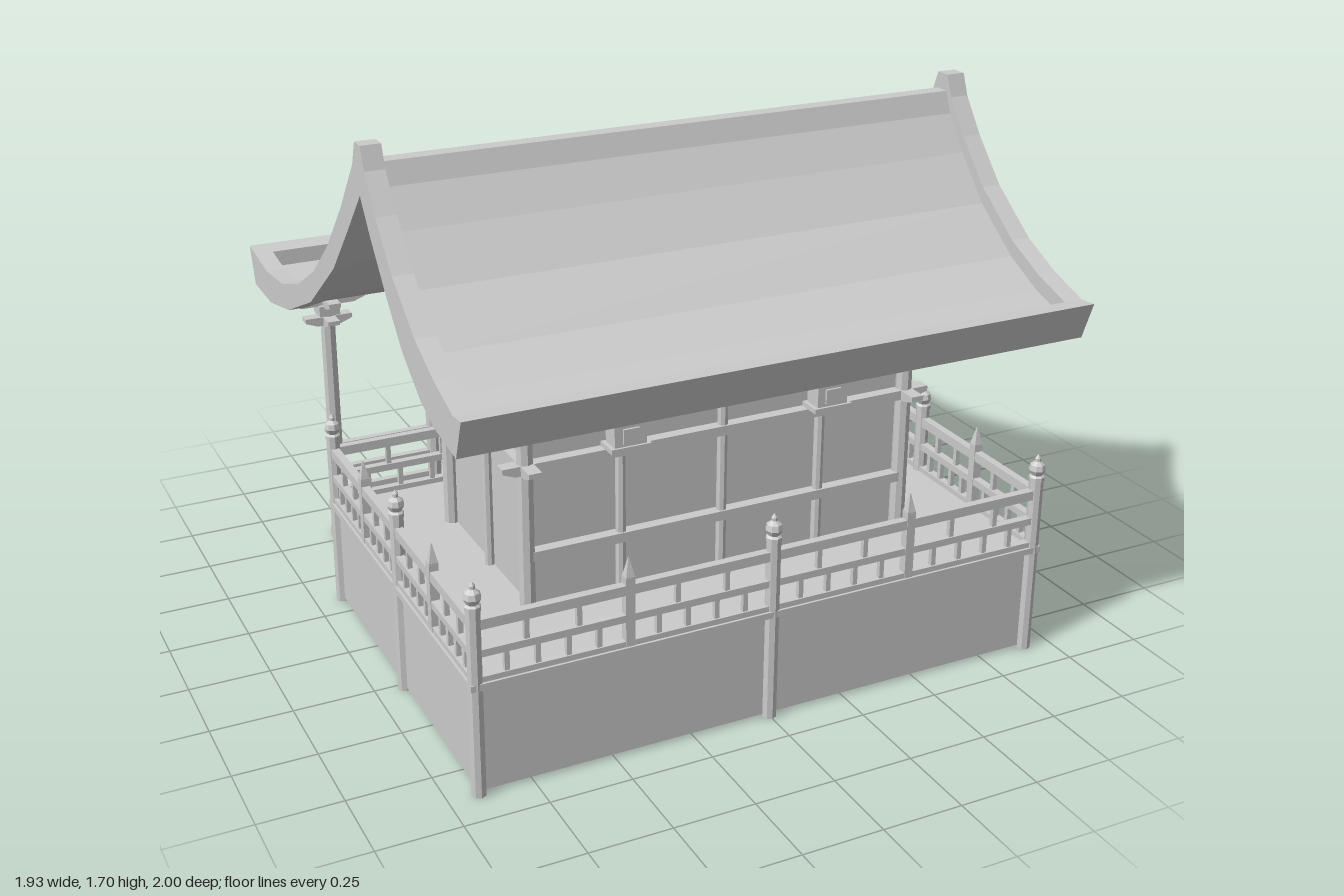
import * as THREE from 'three';

const mat = new THREE.MeshStandardMaterial({ color: 0xcccccc, flatShading: true, side: THREE.DoubleSide });

export function createModel() {
  const root = new THREE.Group();

  const add = (name, geo, x = 0, y = 0, z = 0) => {
    const m = new THREE.Mesh(geo, mat);
    m.name = name;
    m.position.set(x, y, z);
    root.add(m);
    return m;
  };
  // Box by size and centre
  const box = (name, w, h, d, x, y, z) => add(name, new THREE.BoxGeometry(w, h, d), x, y, z);
  // Upright round post between two heights
  const post = (name, r, y0, y1, x, z, r2 = r, sides = 8) =>
    add(name, new THREE.CylinderGeometry(r2, r, y1 - y0, sides), x, (y0 + y1) / 2, z);
  // Straight bar between two points
  const bar = (name, a, b, w, h) => {
    const p = new THREE.Vector3(...a), q = new THREE.Vector3(...b);
    const m = add(name, new THREE.BoxGeometry(w, h, p.distanceTo(q)));
    m.position.copy(p).add(q).multiplyScalar(0.5);
    m.lookAt(q);
    return m;
  };
  // [z, y] outline extruded along x, centred on x
  const profile = (name, pts, width, x = 0) => {
    const shape = new THREE.Shape(pts.map(p => new THREE.Vector2(p[0], p[1])));
    const geo = new THREE.ExtrudeGeometry(shape, { depth: width, bevelEnabled: false });
    geo.translate(0, 0, -width / 2).rotateY(-Math.PI / 2);
    return add(name, geo, x);
  };
  // Bracket arm whose underside tapers at both ends
  const arm = (name, len, h, d, x, y, z, alongZ) => {
    const l = len / 2, t = Math.min(0.04, len / 4);
    const m = profile(name, [[-l + t, -h / 2], [l - t, -h / 2], [l, 0], [l, h / 2], [-l, h / 2], [-l, 0]], d);
    m.position.set(x, y, z);
    if (!alongZ) m.rotation.y = Math.PI / 2;
    return m;
  };

  // Sweeping roof: top and underside curves as [z, y], front to back
  const top = [[1, 1.17], [0.946, 1.165], [0.812, 1.21], [0.678, 1.275], [0.517, 1.396], [0.4, 1.525], [0.324, 1.63],
    [0.298, 1.695], [0.249, 1.695], [0.222, 1.626], [0.088, 1.465], [-0.07, 1.305], [-0.23, 1.178], [-0.42, 1.075],
    [-0.61, 1.016], [-0.8, 1.0], [-1, 1.027]];
  const under = [[-0.957, 0.905], [-0.77, 0.9], [-0.555, 0.945], [-0.287, 1.06], [-0.02, 1.25], [0.15, 1.42],
    [0.275, 1.55], [0.35, 1.45], [0.465, 1.315], [0.57, 1.205], [0.7, 1.115], [0.8, 1.075], [0.957, 1.053]];
  const panelTop = [[0.94, 1.12], ...top.slice(2, -1).map(([z, y]) => [z, y - 0.05]), [-0.94, 0.965]];
  const panelUnder = under.map(([z, y]) => [Math.max(-0.94, Math.min(0.94, z)), y + 0.012]);
  profile('roofPanel', [...panelTop, ...panelUnder], 1.84);
  for (const s of [-1, 1]) profile('roofGableRim', [...top, ...under], 0.06, s * 0.937);
  profile('frontEave', [[1, 1.17], [0.94, 1.165], [0.93, 1.055], [0.957, 1.053]], 1.84);
  profile('backEave', [[-1, 1.027], [-0.957, 0.905], [-0.93, 0.905], [-0.94, 1.015]], 1.84);

  // Stepped layers below the roof
  profile('upperEaveLayer', [[0.275, 1.54], [0.465, 1.3], [0.6, 1.175], [0.78, 1.08], [0.75, 1.035], [0.55, 1.14],
    [0.4, 1.31], [0.275, 1.485], [0.12, 1.31], [-0.04, 1.14], [-0.2, 1.03], [-0.225, 1.055], [-0.02, 1.24]], 1.4);
  profile('lowerEaveLayer', [[0.275, 1.48], [0.4, 1.3], [0.55, 1.135], [0.69, 1.06], [0.66, 1.02], [0.52, 1.09],
    [0.38, 1.25], [0.275, 1.395], [0.16, 1.25], [0.03, 1.09], [-0.11, 1.02], [-0.14, 1.05], [-0.04, 1.13], [0.12, 1.3]], 1.34);

  // Hall walls with gables
  profile('hallWalls', [[0.55, 0.35], [0.55, 1.06], [0.275, 1.42], [-0.04, 1.06], [-0.04, 0.35]], 1.23);
  for (const [z, dir] of [[0.565, 1], [-0.05, -1]]) {
    for (const x of [-0.625, -0.33, 0, 0.33, 0.625]) {
      if (x === 0 && dir < 0) continue;
      post('wallPost', Math.abs(x) > 0.5 ? 0.025 : 0.016, 0.35, 1.03, x, z);
    }
    arm('wallBeam', 1.4, 0.03, 0.04, 0, 0.795, z);
    arm('wallTopBeam', 1.4, 0.035, 0.05, 0, 1.015, z);
    box('wallSill', 1.25, 0.03, 0.04, 0, 0.52, z);
    for (const x of [-0.625, 0.625]) {
      box('cornerCapital', 0.075, 0.035, 0.075, x, 0.975, z);
      arm('cornerBracket', 0.17, 0.03, 0.05, x, 1.01, z, true);
    }
  }
  for (const s of [-1, 1]) {
    arm('sideBeam', 0.77, 0.03, 0.04, s * 0.625, 0.795, 0.26, true);
    arm('sideTopBeam', 0.77, 0.035, 0.05, s * 0.625, 1.015, 0.26, true);
    post('sidePost', 0.016, 0.35, 1.0, s * 0.625, 0.27);
    post('gableStrut', 0.014, 1.0, 1.4, s * 0.625, 0.27);
    // Tall lantern on the side wall
    profile('sideLantern', [[0.27, 1.21], [0.285, 1.15], [0.295, 1.09], [0.33, 1.01], [0.325, 0.83], [0.285, 0.81],
      [0.295, 0.77], [0.27, 0.73], [0.245, 0.77], [0.255, 0.81], [0.215, 0.83], [0.21, 1.01], [0.245, 1.09], [0.255, 1.15]], 0.05, s * 0.65);
    box('sideLanternFrame', 0.02, 0.17, 0.075, s * 0.675, 0.92, 0.27);
    box('sideLanternWindow', 0.02, 0.11, 0.03, s * 0.682, 0.92, 0.27);
    // Hanging lantern on the front wall
    const x = s * 0.33, z = 0.605;
    box('lanternBody', 0.1, 0.075, 0.06, x, 0.865, z);
    box('lanternWindow', 0.05, 0.045, 0.075, x, 0.865, z);
    box('lanternBase', 0.125, 0.015, 0.075, x, 0.825, z);
    const cap = add('lanternRoof', new THREE.CylinderGeometry(0.03, 0.095, 0.045, 4, 1, false, Math.PI / 4), x, 0.925, z);
    cap.scale.z = 0.6;
    post('lanternHanger', 0.008, 0.94, 1.0, x, z);
  }

  // Doorway facing the stairs
  for (const s of [-1, 1]) box('doorLeaf', 0.28, 0.42, 0.02, s * 0.145, 0.57, -0.05);
  profile('doorCrest', [[-0.14, 0], [-0.05, 0.1], [0, 0.13], [0.05, 0.1], [0.14, 0]], 0.03).rotation.y = Math.PI / 2;
  root.children.at(-1).position.set(0, 0.83, -0.06);

  // Raised base and veranda floor
  box('base', 1.82, 0.34, 1.22, 0, 0.18, 0.27);
  box('verandaFloor', 1.86, 0.02, 1.26, 0, 0.345, 0.27);

  // Railing posts with bud finials
  const bud = new THREE.LatheGeometry([[0, 0], [0.024, 0], [0.024, 0.012], [0.017, 0.018], [0.026, 0.035], [0.022, 0.052],
    [0.009, 0.062], [0.009, 0.072], [0, 0.085]].map(p => new THREE.Vector2(...p)), 8);
  const finialPost = (x, z, h) => {
    post('railingPost', 0.022, 0, h, x, z);
    add('postFinial', bud, x, h - 0.005, z);
  };
  const slimPost = (x, z) => {
    box('slimPost', 0.028, 0.22, 0.028, x, 0.46, z);
    add('slimPostTip', new THREE.CylinderGeometry(0.002, 0.02, 0.06, 4, 1, false, Math.PI / 4), x, 0.595, z);
  };
  for (const x of [-0.91, 0, 0.91]) finialPost(x, 0.88, 0.58);
  for (const x of [-0.91, 0.91]) {
    finialPost(x, 0.27, 0.58);
    finialPost(x, -0.34, 0.58);
    slimPost(x, 0.57);
    slimPost(x, -0.03);
  }
  for (const x of [-0.455, 0.455]) slimPost(x, 0.88);
  for (const x of [-0.37, 0.37]) finialPost(x, -0.34, 0.58);

  // One bay of railing between [x, z] points
  const railing = (a, b) => {
    const at = (t, y) => [a[0] + (b[0] - a[0]) * t, y, a[1] + (b[1] - a[1]) * t];
    for (const [y, h] of [[0.53, 0.03], [0.443, 0.022], [0.362, 0.02]]) bar('rail', at(0, y), at(1, y), 0.025, h);
    for (const t of [0.2, 0.4, 0.6, 0.8]) box('lowerBaluster', 0.015, 0.08, 0.015, ...at(t, 0.4));
    for (const t of [0.33, 0.67]) box('upperBaluster', 0.015, 0.08, 0.015, ...at(t, 0.487));
  };
  const xs = [-0.91, -0.455, 0, 0.455, 0.91], zs = [0.88, 0.57, 0.27, -0.03, -0.34];
  for (let i = 0; i < 4; i++) {
    railing([xs[i], 0.88], [xs[i + 1], 0.88]);
    for (const x of [-0.91, 0.91]) railing([x, zs[i]], [x, zs[i + 1]]);
  }
  for (const s of [-1, 1]) railing([s * 0.91, -0.34], [s * 0.37, -0.34]);

  // Stairs at the back
  const steps = 7;
  for (let i = 0; i < steps; i++) {
    const h = 0.31 - i * 0.04;
    box('step', 0.7, h, 0.045, 0, h / 2 + 0.01, -0.36 - i * 0.043);
  }
  for (const s of [-1, 1]) {
    const x = s * 0.365;
    profile('stairStringer', [[-0.33, 0.01], [-0.33, 0.35], [-0.36, 0.35], [-0.62, 0.105], [-0.7, 0.105], [-0.7, 0.01]], 0.03, x);
    finialPost(x, -0.71, 0.37);
    for (const [y, h] of [[0.545, 0.028], [0.455, 0.022]]) {
      bar('stairRail', [x, y, -0.35], [x, y - 0.23, -0.62], 0.022, h);
      bar('stairRailEnd', [x, y - 0.23, -0.615], [x, y - 0.23, -0.71], 0.022, h);
    }
    for (const [z, y0, y1] of [[-0.43, 0.27, 0.47], [-0.55, 0.16, 0.37], [-0.62, 0.1, 0.31]])
      box('stairBaluster', 0.015, y1 - y0, 0.015, x, (y0 + y1) / 2, z);
    box('stairMiddlePost', 0.025, 0.28, 0.025, x, 0.35, -0.5);
    post('stairPostTip', 0.018, 0.48, 0.545, x, -0.5, 0.002, 4);
  }

  // Porch columns with bracket tops and side rails
  for (const s of [-1, 1]) {
    for (const px of [0.42, 0.775]) {
      const x = s * px, z = -0.79;
      post('porchColumn', 0.025, 0, 0.84, x, z);
      post('columnFoot', 0.036, 0, 0.04, x, z);
      arm('lowerBracketX', 0.16, 0.03, 0.04, x, 0.805, z);
      arm('lowerBracketZ', 0.15, 0.03, 0.04, x, 0.805, z, true);
      box('bracketBlock', 0.07, 0.035, 0.07, x, 0.845, z);
      arm('upperBracketX', 0.26, 0.03, 0.04, x, 0.875, z);
      arm('upperBracketZ', 0.2, 0.03, 0.04, x, 0.875, z, true);
    }
    for (const y of [0.17, 0.25, 0.34]) box('porchRail', 0.355, 0.02, 0.025, s * 0.5975, y, -0.79);
  }
  box('porchBeam', 1.75, 0.025, 0.04, 0, 0.9, -0.79);

  return root;
}
